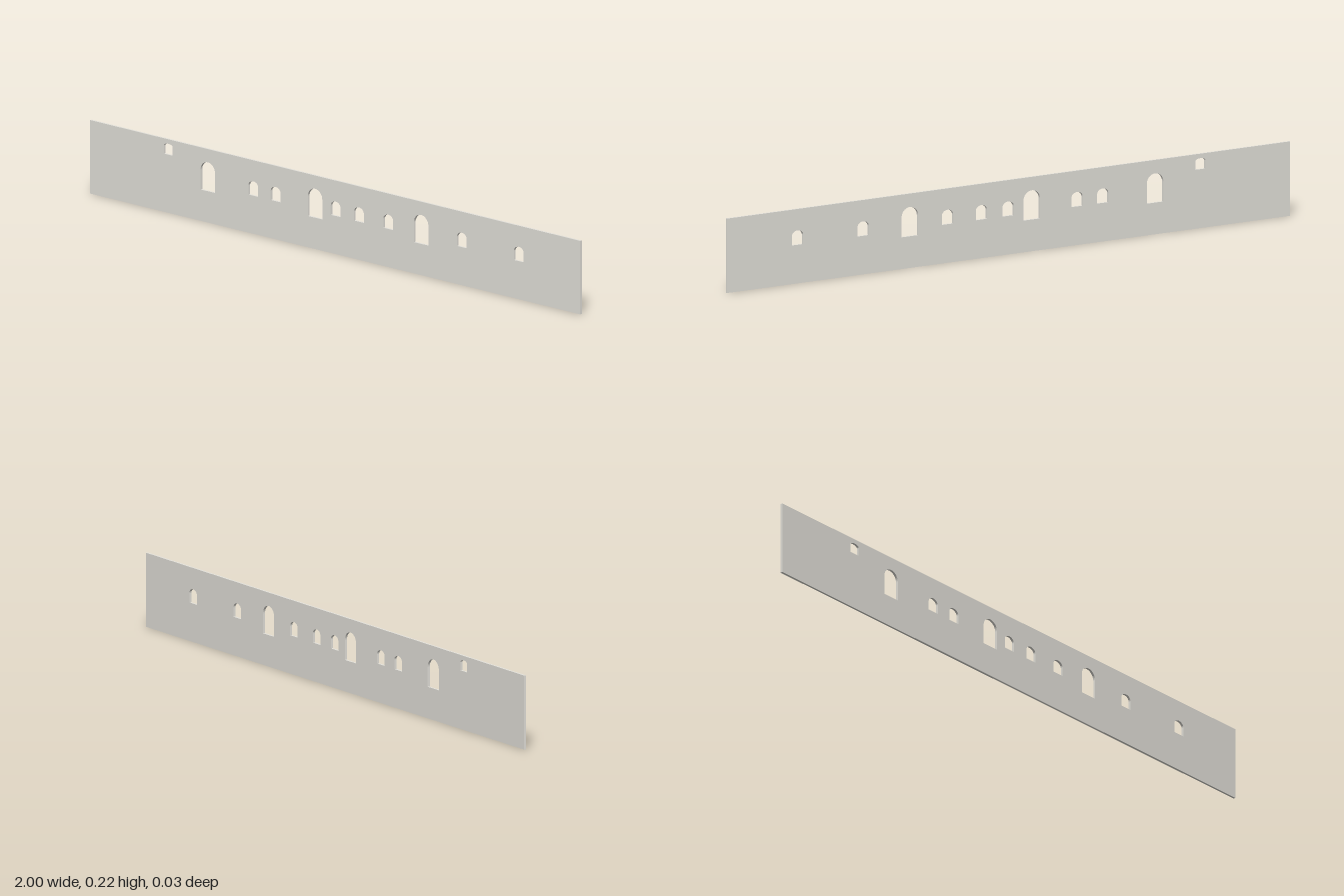
import * as THREE from 'three';

const HEIGHT = 0.216, THICKNESS = 0.007, TURN = 0.01;

// Arched opening: centre x, sill y, width, total height, rise of the arch
function archedOpening(cx, sill, width, height, rise) {
  const r = width / 2, spring = sill + height - rise;
  const hole = new THREE.Path();
  hole.moveTo(cx - r, sill);
  hole.lineTo(cx + r, sill);
  hole.lineTo(cx + r, spring);
  hole.absellipse(cx, spring, r, rise, 0, Math.PI, false);
  hole.lineTo(cx - r, sill);
  return hole;
}

export function createModel() {
  const model = new THREE.Group();
  model.name = 'wallWithWindows';
  const stone = new THREE.MeshStandardMaterial({ color: 0xe5e3dc });
  stone.name = 'pale stone';

  // Long plain wall outline
  const outline = new THREE.Shape();
  outline.moveTo(-1, 0);
  outline.lineTo(1, 0);
  outline.lineTo(1, HEIGHT);
  outline.lineTo(-1, HEIGHT);
  outline.closePath();

  // Tall windows
  for (const x of [-0.52, -0.082, 0.351]) {
    outline.holes.push(archedOpening(x, 0.092, 0.059, 0.085, 0.027));
  }
  // Small windows
  for (const x of [-0.334, -0.243, 0.002, 0.097, 0.217, 0.517, 0.75]) {
    outline.holes.push(archedOpening(x, 0.112, 0.04, 0.042, 0.015));
  }
  // High vent near one end
  outline.holes.push(archedOpening(-0.681, 0.171, 0.036, 0.032, 0.008));

  const geometry = new THREE.ExtrudeGeometry(outline, {
    depth: THICKNESS, bevelEnabled: false, curveSegments: 12,
  });
  geometry.translate(0, 0, -THICKNESS / 2);

  // The wall runs slightly askew
  const wall = new THREE.Mesh(geometry, stone);
  wall.name = 'wall';
  wall.rotation.y = TURN;
  model.add(wall);
  return model;
}
